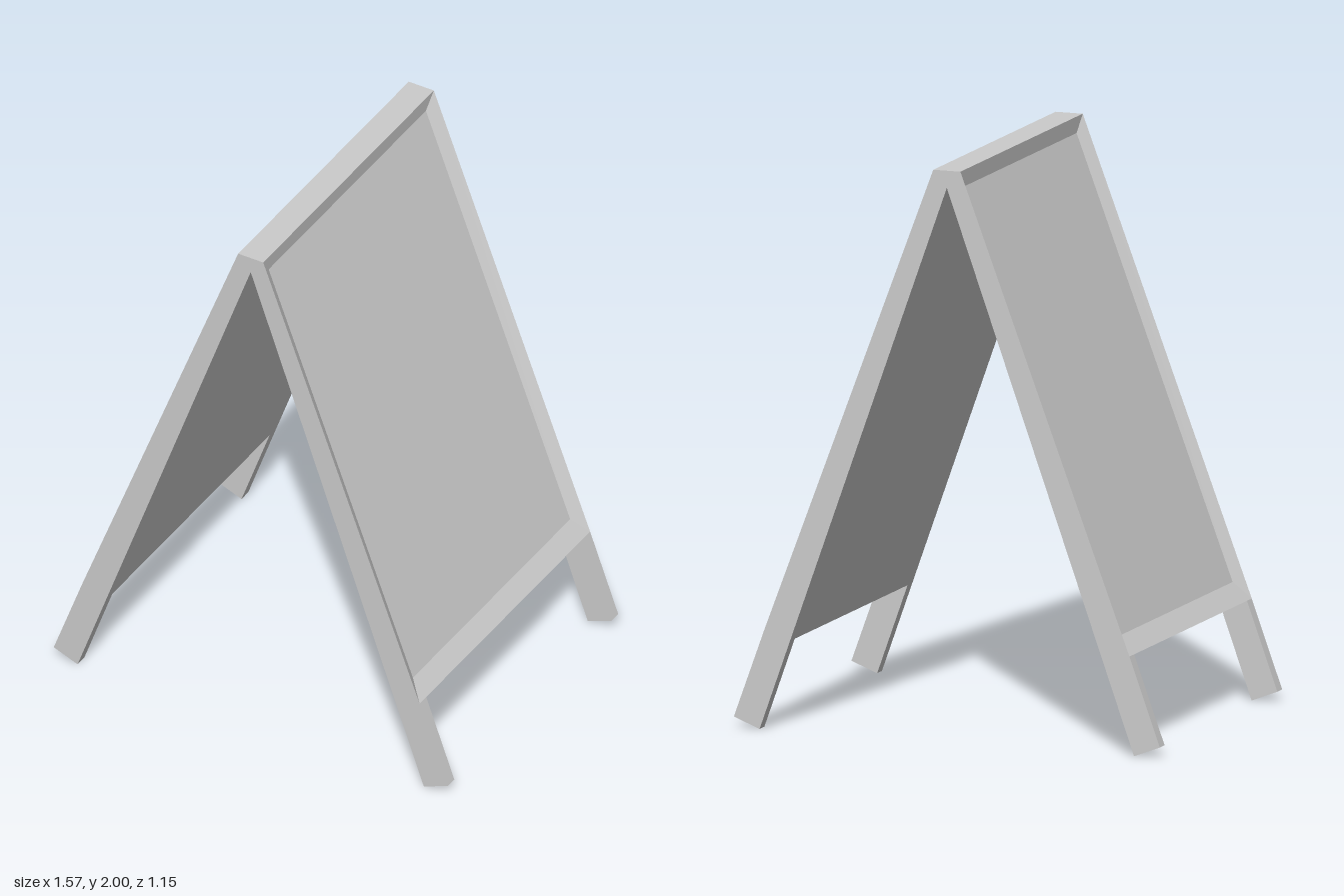
import * as THREE from 'three';

// Side profile of one board (x, y), top to bottom
const P = {
  crown: [0, 2], apex: [0, 1.94], edgeTop: [0.05, 2], edgeLow: [0.673, 0.35],
  panelTop: [0.045, 1.94], panelLow: [0.62, 0.412], innerLow: [0.578, 0.318],
  footOut: [0.785, 0.04], footIn: [0.69, 0.003],
};
const W = 0.575, I = 0.53; // half widths: outer edge, recessed panel

const material = new THREE.MeshStandardMaterial({ color: 0xcccccc, flatShading: true });

// Mesh from quads whose corners are [profile point, z], counter-clockwise
function quadMesh(name, quads) {
  const pos = [];
  for (const q of quads) {
    for (const i of [0, 1, 2, 0, 2, 3]) pos.push(...P[q[i][0]], q[i][1]);
  }
  const geo = new THREE.BufferGeometry();
  geo.setAttribute('position', new THREE.Float32BufferAttribute(pos, 3));
  geo.computeVertexNormals();
  const mesh = new THREE.Mesh(geo, material);
  mesh.name = name;
  return mesh;
}

// Strip spanning the width between two profile points
const strip = (low, lowZ, high, highZ) =>
  [[low, lowZ], [low, -lowZ], [high, -highZ], [high, highZ]];

function createBoard(name) {
  const board = new THREE.Group();
  board.name = name;

  board.add(quadMesh('recessedPanel', [strip('panelLow', I, 'panelTop', I)]));
  board.add(quadMesh('backPanel', [strip('apex', W, 'innerLow', W)]));

  // Bevelled frame, top cap and underside
  const frame = [
    strip('panelTop', I, 'edgeTop', W),
    strip('edgeLow', W, 'panelLow', I),
    strip('edgeTop', W, 'crown', W),
    strip('innerLow', I, 'edgeLow', I),
  ];
  // Side bevels and end faces, mirrored in z
  for (const s of [1, -1]) {
    const sides = [
      [['edgeLow', s * W], ['panelLow', s * I], ['panelTop', s * I], ['edgeTop', s * W]],
      [['apex', s * W], ['innerLow', s * W], ['edgeLow', s * W], ['edgeTop', s * W]],
      [['crown', s * W], ['apex', s * W], ['edgeTop', s * W], ['edgeTop', s * W]],
    ];
    for (const q of sides) frame.push(s > 0 ? q : q.reverse());
  }
  board.add(quadMesh('frame', frame));

  // Legs below the frame
  const outline = ['innerLow', 'footIn', 'footOut', 'edgeLow'].map((k) => new THREE.Vector2(...P[k]));
  const legGeo = new THREE.ExtrudeGeometry(new THREE.Shape(outline), { depth: W - I, bevelEnabled: false });
  for (const [legName, z] of [['nearLeg', I], ['farLeg', -W]]) {
    const leg = new THREE.Mesh(legGeo, material);
    leg.name = legName;
    leg.position.z = z;
    board.add(leg);
  }
  return board;
}

export function createModel() {
  const model = new THREE.Group();
  model.name = 'sandwichBoard';
  const left = createBoard('leftBoard');
  const right = createBoard('rightBoard');
  right.rotation.y = Math.PI;
  model.add(left, right);
  return model;
}
